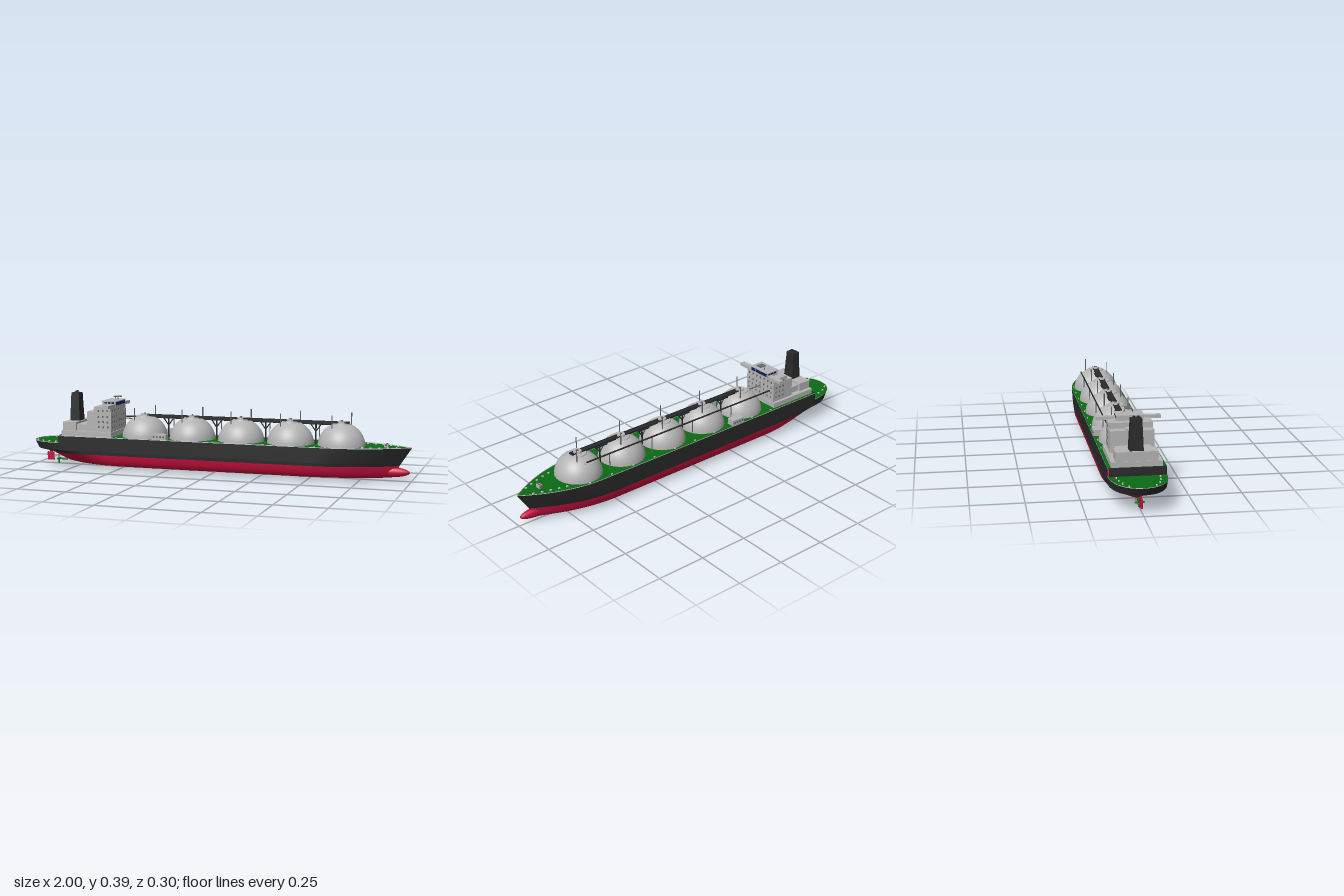
import * as THREE from 'three';

const mat = (name, color, side = THREE.FrontSide) => {
  const m = new THREE.MeshStandardMaterial({ color, side });
  m.name = name;
  return m;
};

export function createModel() {
  const root = new THREE.Group();
  const black = mat('hullBlack', 0x2a2a2a, THREE.DoubleSide);
  const red = mat('bottomRed', 0xc40f3c, THREE.DoubleSide);
  const green = mat('deckGreen', 0x0d6a14, THREE.DoubleSide);
  const gray = mat('paintGray', 0xb4b4b4);
  const rail = mat('railLight', 0xc8c8c8, THREE.DoubleSide);
  const steel = mat('darkSteel', 0x6a6a6a);
  const navy = mat('windowNavy', 0x0c1f5e);

  const add = (name, geo, m, x = 0, y = 0, z = 0, parent = root) => {
    const mesh = new THREE.Mesh(geo, m);
    mesh.name = name;
    mesh.position.set(x, y, z);
    parent.add(mesh);
    return mesh;
  };
  // box given by its limits
  const box = (name, m, x0, x1, y0, y1, z0, z1, parent) =>
    add(name, new THREE.BoxGeometry(x1 - x0, y1 - y0, z1 - z0), m, (x0 + x1) / 2, (y0 + y1) / 2, (z0 + z1) / 2, parent);
  // round bar between two points
  const bar = (name, m, a, b, r, parent) => {
    const p = new THREE.Vector3(...a), q = new THREE.Vector3(...b);
    const mesh = add(name, new THREE.CylinderGeometry(r, r, p.distanceTo(q), 6), m, 0, 0, 0, parent);
    mesh.position.copy(p).lerp(q, 0.5);
    mesh.quaternion.setFromUnitVectors(new THREE.Vector3(0, 1, 0), q.sub(p).normalize());
    return mesh;
  };

  // ---- hull waterlines: stern x, bow x, half beam, run lengths, stern fullness
  const line = (y, xs, xb, half, aft, fore, full) => ({ y, xs, xb, half, aft, fore, full });
  const keel = line(0.015, -0.78, 0.9, 0.1, 0.36, 0.42, 0.9);
  const bilge = line(0.023, -0.82, 0.92, 0.116, 0.36, 0.42, 0.85);
  const side = line(0.045, -0.87, 0.93, 0.13, 0.36, 0.42, 0.75);
  const load = line(0.074, -0.92, 0.94, 0.134, 0.28, 0.42, 0.6);
  const counter = line(0.09, -0.98, 0.95, 0.135, 0.2, 0.41, 0.45);
  const low = line(0.128, -1, 0.975, 0.135, 0.2, 0.4, 0.45);
  const top = line(0.165, -1, 1, 0.135, 0.2, 0.4, 0.45);
  const railTop = { ...top, y: 0.169 };
  const width = (l, x) => {
    const t = THREE.MathUtils.clamp((x - l.xs) / l.aft, 0, 1);
    const s = THREE.MathUtils.clamp((l.xb - x) / l.fore, 0, 1);
    return l.half * (1 - (1 - t) ** 2.4) ** l.full * (1 - (1 - s) ** 2);
  };
  const N = 72;
  const station = (l, i, x0, x1) => {
    const a = Math.max(l.xs, x0), b = Math.min(l.xb, x1);
    const x = a + (b - a) * (1 - Math.cos(Math.PI * i / N)) / 2;
    return [x, width(l, x)];
  };
  // both shell sides through a list of waterlines
  const shell = (name, lines, m, x0 = -1, x1 = 1) => {
    const pos = [], idx = [];
    for (const sgn of [1, -1]) {
      const base = pos.length / 3;
      lines.forEach((l, j) => {
        for (let i = 0; i <= N; i++) {
          const [x, w] = station(l, i, x0, x1);
          pos.push(x, l.y, sgn * w);
          if (i === N || j === lines.length - 1) continue;
          const a = base + j * (N + 1) + i, b = a + 1, c = b + N + 1, d = a + N + 1;
          if (sgn > 0) idx.push(a, b, c, a, c, d);
          else idx.push(a, c, b, a, d, c);
        }
      });
    }
    surface(name, pos, idx, m);
  };
  // flat surface spanning one waterline
  const cap = (name, l, m, up, x0 = -1, x1 = 1) => {
    const pos = [], idx = [];
    for (let i = 0; i <= N; i++) {
      const [x, w] = station(l, i, x0, x1);
      pos.push(x, l.y, w, x, l.y, -w);
      if (i === N) continue;
      const a = 2 * i, b = a + 1, c = a + 2, d = a + 3;
      if (up) idx.push(a, c, d, a, d, b);
      else idx.push(a, d, c, a, b, d);
    }
    surface(name, pos, idx, m);
  };
  const surface = (name, pos, idx, m) => {
    const g = new THREE.BufferGeometry();
    g.setAttribute('position', new THREE.Float32BufferAttribute(pos, 3));
    g.setIndex(idx);
    g.computeVertexNormals();
    add(name, g, m);
  };
  const STEP = -0.82;
  shell('bottomHull', [keel, bilge, side, load], red);
  cap('keelPlate', keel, red, false);
  shell('counterHull', [load, counter], black);
  shell('lowerTopsides', [counter, low], black);
  shell('upperTopsides', [low, top], black, STEP);
  cap('mainDeck', top, green, true, STEP);
  cap('aftDeck', low, green, true, -1, STEP + 0.002);
  shell('deckRail', [top, railTop], rail, STEP);
  shell('aftRail', [low, { ...low, y: 0.131 }], rail, -1, STEP);
  box('deckStep', black, STEP - 0.003, STEP + 0.003, 0.128, 0.168, -0.129, 0.129);
  add('bulbousBow', new THREE.SphereGeometry(1, 24, 16), red, 0.88, 0.043, 0).scale.set(0.112, 0.026, 0.024);

  // ---- rudder and propeller
  box('rudder', red, -0.945, -0.908, 0.015, 0.058, -0.004, 0.004);
  box('rudderStock', red, -0.932, -0.918, 0.055, 0.09, -0.003, 0.003);
  const shaft = add('propellerHub', new THREE.CylinderGeometry(0.004, 0.006, 0.06, 12), green, -0.86, 0.024, 0);
  shaft.rotation.z = Math.PI / 2;
  for (let k = 0; k < 4; k++) {
    const a = k * Math.PI / 2;
    const blade = add('propellerBlade', new THREE.SphereGeometry(1, 10, 8), green, -0.88, 0.024 + 0.013 * Math.cos(a), 0.013 * Math.sin(a));
    blade.scale.set(0.003, 0.012, 0.006);
    blade.rotation.set(a, 0.5, 0, 'XYZ');
  }

  // ---- five domed cargo tanks
  const tanks = [-0.387, -0.127, 0.133, 0.391, 0.651];
  const dome = [[0.119, 0.163]];
  for (let i = 0; i <= 16; i++) {
    const a = i / 16 * Math.PI / 2;
    dome.push([0.118 * Math.cos(a), 0.16 + 0.117 * Math.sin(a)]);
  }
  const domeGeo = new THREE.LatheGeometry(dome.map(p => new THREE.Vector2(Math.max(p[0], 0), p[1])), 40);
  for (const x of tanks) {
    const tank = new THREE.Group();
    tank.name = 'cargoTank';
    tank.position.x = x;
    root.add(tank);
    add('dome', domeGeo, gray, 0, 0, 0, tank);
    add('crownPlatform', new THREE.CylinderGeometry(0.042, 0.045, 0.008, 24), gray, 0, 0.27, 0, tank);
    add('crownCap', new THREE.CylinderGeometry(0.02, 0.022, 0.012, 20), gray, 0, 0.278, 0, tank);
    add('crownHatch', new THREE.CylinderGeometry(0.006, 0.006, 0.005, 10), steel, 0, 0.286, 0, tank);
    bar('ventMast', steel, [0.039, 0.25, -0.05], [0.039, 0.322, -0.05], 0.003, tank);
    bar('ventMast', steel, [-0.036, 0.25, 0.06], [-0.036, 0.318, 0.06], 0.0025, tank);
    bar('ventNozzle', gray, [0.01, 0.24, -0.066], [0.01, 0.252, -0.078], 0.007, tank);
  }

  // ---- overhead walkway, side pipe and the supports between tanks
  box('walkway', black, -0.4, 0.69, 0.27, 0.277, -0.013, 0.013);
  box('walkwayRail', black, -0.4, 0.69, 0.276, 0.281, 0.011, 0.014);
  box('walkwayRail', black, -0.4, 0.69, 0.276, 0.281, -0.014, -0.011);
  bar('sidePipe', black, [-0.53, 0.255, -0.08], [0.655, 0.255, -0.08], 0.004);
  bar('bridgePipe', steel, [-0.54, 0.255, 0], [-0.43, 0.255, 0], 0.003);
  for (let i = 0; i < 4; i++) {
    const x = (tanks[i] + tanks[i + 1]) / 2;
    box('walkwayPlatform', black, x - 0.035, x + 0.035, 0.266, 0.272, -0.018, 0.018);
    bar('supportPost', black, [x, 0.165, 0], [x, 0.27, 0], 0.004);
    for (const s of [1, -1]) bar('supportBrace', black, [x, 0.228, 0], [x + s * 0.03, 0.27, 0], 0.003);
    bar('pipePost', steel, [x, 0.165, -0.08], [x, 0.255, -0.08], 0.0025);
  }

  // ---- superstructure tiers
  const house = new THREE.Group();
  house.name = 'superstructure';
  root.add(house);
  box('lowerDeckhouse', gray, -0.81, -0.53, 0.165, 0.192, -0.118, 0.118, house);
  box('engineCasing', gray, -0.808, -0.735, 0.19, 0.236, -0.098, 0.098, house);
  box('middleCasing', gray, -0.74, -0.66, 0.19, 0.225, -0.085, 0.085, house);
  box('accommodation', gray, -0.67, -0.535, 0.19, 0.295, -0.103, 0.103, house);
  box('upperAccommodation', gray, -0.63, -0.537, 0.29, 0.322, -0.103, 0.103, house);
  box('aftTrunk', gray, -0.665, -0.62, 0.29, 0.302, -0.03, 0.03, house);
  box('bridgeWing', gray, -0.556, -0.53, 0.317, 0.333, -0.152, 0.152, house);
  box('wheelhouse', gray, -0.6, -0.525, 0.32, 0.347, -0.063, 0.063, house);
  box('wheelhouseRoof', gray, -0.604, -0.521, 0.346, 0.349, -0.066, 0.066, house);
  for (let k = -3; k <= 3; k++)
    box('bridgeWindow', navy, -0.526, -0.523, 0.327, 0.343, k * 0.0172 - 0.007, k * 0.0172 + 0.007, house);
  for (const s of [1, -1]) {
    for (const x of [-0.58, -0.56, -0.54])
      box('sideBridgeWindow', navy, x - 0.007, x + 0.007, 0.335, 0.344, s * 0.063 - 0.001, s * 0.063 + 0.001, house);
    for (const y of [0.215, 0.242, 0.269, 0.3])
      for (const x of [-0.605, -0.58, -0.555])
        box('cabinWindow', steel, x - 0.004, x + 0.004, y - 0.004, y + 0.006, s * 0.103 - 0.001, s * 0.103 + 0.001, house);
  }
  for (const y of [0.215, 0.242, 0.269, 0.3])
    for (const z of [-0.085, -0.057, -0.029, 0, 0.029, 0.057, 0.085])
      box('frontWindow', steel, -0.538, -0.533, y - 0.004, y + 0.006, z - 0.003, z + 0.003, house);
  // radar mast
  for (const s of [1, -1]) bar('radarLeg', steel, [-0.545, 0.347, s * 0.022], [-0.545, 0.368, s * 0.014], 0.002, house);
  box('radarBar', steel, -0.557, -0.52, 0.366, 0.37, -0.016, 0.016, house);

  // ---- funnel, slightly tapered
  const funnel = add('funnel', new THREE.CylinderGeometry(0.78, 1, 0.148, 4, 1).toNonIndexed(), black, -0.77, 0.308, 0);
  funnel.geometry.rotateY(Math.PI / 4);
  funnel.geometry.computeVertexNormals();
  funnel.scale.set(0.038, 1, 0.046);
  for (const s of [1, -1]) bar('exhaustPipe', black, [-0.77, 0.375, s * 0.01], [-0.77, 0.392, s * 0.01], 0.005);

  // ---- loading manifolds on both sides
  for (const s of [1, -1]) {
    const a = s * 0.09, b = s * 0.132;
    box('manifold', gray, -0.302, -0.228, 0.165, 0.195, Math.min(a, b), Math.max(a, b));
    for (let k = 0; k < 4; k++)
      bar('manifoldFlange', steel, [-0.29 + k * 0.017, 0.183, s * 0.13], [-0.29 + k * 0.017, 0.183, s * 0.136], 0.005);
  }

  // ---- deck fittings
  box('bowWinch', gray, 0.865, 0.885, 0.165, 0.18, -0.012, 0.012);
  bar('winchDrum', steel, [0.875, 0.177, -0.02], [0.875, 0.177, 0.02], 0.006);
  for (const s of [1, -1]) {
    for (const x of [0.77, 0.81, 0.85, 0.89, 0.93])
      box('bollard', rail, x - 0.005, x + 0.005, 0.165, 0.171, s * width(top, x) * 0.72 - 0.003, s * width(top, x) * 0.72 + 0.003);
    for (const x of [-0.97, -0.93, -0.89, -0.85])
      box('sternBollard', rail, x - 0.005, x + 0.005, 0.128, 0.134, s * width(low, x) * 0.75 - 0.003, s * width(low, x) * 0.75 + 0.003);
    for (let x = -0.5; x < 0.75; x += 0.13)
      box('sideBollard', rail, x - 0.005, x + 0.005, 0.165, 0.17, s * 0.122 - 0.002, s * 0.122 + 0.002);
  }
  return root;
}
